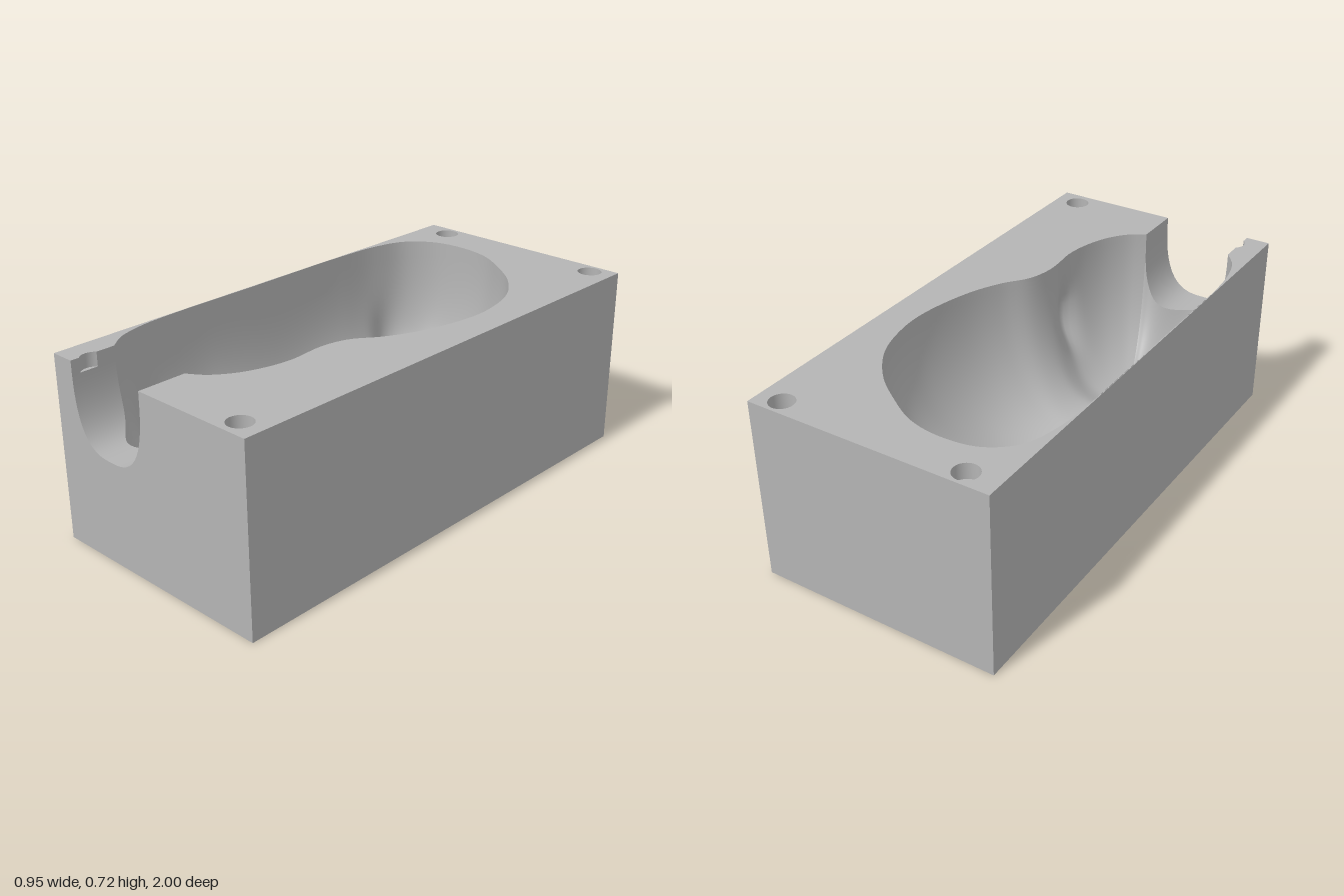
import * as THREE from 'three';

const W = 0.475, TOP = 0.72;
const CH = { x: -0.2, half: 0.18, depth: 0.32, p: 2.8 }; // pouring channel
const PEG = { r: 0.047, depth: 0.06 };

// Smooth interpolation through [position, value] pairs
function interp(table, t) {
  if (t <= table[0][0]) return table[0][1];
  for (let i = 1; i < table.length; i++) {
    const [a, va] = table[i - 1], [b, vb] = table[i];
    if (t <= b) return va + (vb - va) * THREE.MathUtils.smoothstep(t, a, b);
  }
  return table[table.length - 1][1];
}

const channelY = (x) => {
  const u = Math.min(1, Math.abs((x - CH.x) / CH.half));
  return TOP - CH.depth * Math.pow(1 - Math.pow(u, CH.p), 1 / CH.p);
};

// Height of the cavity floor along its length
const floorY = (z) => interp([[-0.62, 0.14], [-0.38, 0.17], [-0.1, 0.13], [0.27, 0.2], [0.42, 0.16], [0.7, 0.17]], z);

// Local hollows pressed into the cavity wall
const dimples = [
  { c: [0.11, 0.49, 0.45], r: [0.07, 0.14, 0.05], push: [0.045, -0.03, 0] },
  { c: [-0.4, 0.33, -0.63], r: [0.06, 0.13, 0.06], push: [-0.03, -0.06, 0] },
  { c: [-0.4, 0.33, 0.65], r: [0.06, 0.13, 0.06], push: [-0.03, -0.06, 0] },
];

// Cavity point below rim point r; a = 0 on the floor spine, PI/2 on the rim
function cavityPoint(r, a) {
  const p = 2.3 + 0.8 * THREE.MathUtils.smoothstep(-r.x, -0.1, 0.4);
  const out = Math.pow(Math.sin(a), 2 / p), down = Math.pow(Math.max(0, Math.cos(a)), 2 / p);
  const sx = -0.13, sz = r.z * 0.6;
  const z = sz + (r.z - sz) * out;
  const v = [sx + (r.x - sx) * out, TOP - (TOP - floorY(z)) * down, z];
  for (const d of dimples) {
    const q = d.c.reduce((s, c, i) => s + ((v[i] - c) / d.r[i]) ** 2, 0);
    const w = Math.exp(-q) * Math.min(1, down * 3);
    d.push.forEach((m, i) => { v[i] += m * w; });
  }
  return new THREE.Vector3(Math.max(v[0], -0.472), v[1], v[2]);
}

// Surface through rows of points
function gridSurface(rows, closed = false, skip = () => false) {
  const n = rows[0].length, pos = [], idx = [];
  rows.forEach((row) => row.forEach((v) => pos.push(v.x, v.y, v.z)));
  for (let i = 0; i < rows.length - (closed ? 0 : 1); i++) {
    const k = (i + 1) % rows.length;
    for (let j = 0; j < n - 1; j++) {
      if (skip(i, j)) continue;
      const a = i * n + j, b = k * n + j;
      idx.push(a, a + 1, b, b, a + 1, b + 1);
    }
  }
  const g = new THREE.BufferGeometry();
  g.setAttribute('position', new THREE.Float32BufferAttribute(pos, 3));
  g.setIndex(idx);
  g.computeVertexNormals();
  return g;
}

// Horizontal plate facing up, from [x, z] points and round holes
function flatPlate(points, y, holes = []) {
  const s = new THREE.Shape(points.map(([x, z]) => new THREE.Vector2(x, -z)));
  holes.forEach(([x, z]) => s.holes.push(new THREE.Path().absarc(x, -z, PEG.r, 0, Math.PI * 2, true)));
  return new THREE.ShapeGeometry(s, 16).rotateX(-Math.PI / 2).translate(0, y, 0);
}

export function createModel() {
  const group = new THREE.Group();
  const grey = new THREE.MeshStandardMaterial({ color: 0xb4b4b4, side: THREE.DoubleSide });
  grey.name = 'mould grey';
  const add = (name, geometry) => {
    const m = new THREE.Mesh(geometry, grey);
    m.name = name;
    group.add(m);
    return m;
  };

  // Cavity rim on the top face, from the channel's right side round to its left
  const rimCurve = new THREE.CatmullRomCurve3([
    [-0.38, 0.82], [-0.43, 0.75], [-0.46, 0.64], [-0.471, 0.5], [-0.471, 0.1], [-0.471, -0.4],
    [-0.455, -0.6], [-0.41, -0.73], [-0.31, -0.81], [-0.17, -0.83], [-0.04, -0.805], [0.08, -0.735],
    [0.2, -0.64], [0.3, -0.5], [0.345, -0.33], [0.345, -0.2], [0.3, 0], [0.24, 0.13], [0.17, 0.23],
    [0.145, 0.33], [0.148, 0.42], [0.153, 0.48], [0.14, 0.58], [0.1, 0.69], [0.04, 0.77], [-0.02, 0.81],
  ].map(([x, z]) => new THREE.Vector3(x, TOP, z)));
  const rim = rimCurve.getSpacedPoints(170);

  // Front end of the cavity, later trimmed where it meets the channel
  const front = [], F = 48;
  for (let i = 1; i < F; i++) {
    const x = CH.x + CH.half * Math.cos((i / F) * Math.PI);
    front.push(new THREE.Vector3(x, TOP, interp([[-0.38, 0.82], [-0.27, 0.905], [-0.05, 0.815], [-0.02, 0.81]], x)));
  }

  // Cavity
  const STEPS = 44;
  const column = (r, end) => Array.from({ length: STEPS + 1 }, (_, j) => cavityPoint(r, (end * j) / STEPS));
  const trimmed = (r) => {
    let lo = 0, hi = Math.PI / 2;
    for (let i = 0; i < 30; i++) {
      const mid = (lo + hi) / 2, v = cavityPoint(r, mid);
      if (v.y > channelY(v.x)) hi = mid; else lo = mid;
    }
    return lo;
  };
  const frontColumns = front.map((r) => column(r, trimmed(r)));
  add('cavity', gridSurface([...rim.map((r) => column(r, Math.PI / 2)), ...frontColumns], true));

  // Channel running from the cavity to the front, with a gap for the cut peg hole
  const cut = { x: -0.35, z: 0.93 };
  const edgeX = CH.x - CH.half;
  const half = Math.sqrt(PEG.r ** 2 - (cut.x - edgeX) ** 2);
  const ends = [rim[rim.length - 1], ...frontColumns.map((c) => c[STEPS]), rim[0]];
  const rows = ends.map((e) => [e.z, cut.z - half, cut.z + half, 1].map((z) => new THREE.Vector3(e.x, e.y, z)));
  add('channel', gridSurface(rows, false, (i, j) => i === ends.length - 2 && j === 1));

  // Peg hole cut open by the channel
  const notchY = ends[ends.length - 2].y;
  const a0 = Math.acos((edgeX - cut.x) / PEG.r);
  const arc = Array.from({ length: 9 }, (_, i) => {
    const a = a0 + (2 * (Math.PI - a0) * i) / 8;
    return [cut.x + PEG.r * Math.cos(a), cut.z + PEG.r * Math.sin(a)];
  });
  add('cutPegHoleWall', gridSurface(arc.map(([x, z]) => [new THREE.Vector3(x, TOP, z), new THREE.Vector3(x, notchY, z)])));
  add('cutPegHoleFloor', flatPlate(arc, notchY));

  // Whole peg holes
  const pegs = [[-0.35, -0.94], [0.38, -0.94], [0.38, 0.93]];
  pegs.forEach(([x, z]) => {
    add('pegHoleWall', new THREE.CylinderGeometry(PEG.r, PEG.r, PEG.depth, 32, 1, true)).position.set(x, TOP - PEG.depth / 2, z);
    add('pegHoleFloor', new THREE.CircleGeometry(PEG.r, 32).rotateX(-Math.PI / 2)).position.set(x, TOP - PEG.depth, z);
  });

  // Top face around the openings
  const outline = [[edgeX, 1], ...arc, ...rim.map((v) => [v.x, v.z]),
    [CH.x + CH.half, 1], [W, 1], [W, -1], [-W, -1], [-W, 1]];
  add('topFace', flatPlate(outline, TOP, pegs));

  // Front face with the channel mouth
  const mouth = ends.map((e) => new THREE.Vector2(e.x, e.y));
  const face = new THREE.Shape([new THREE.Vector2(-W, 0), new THREE.Vector2(W, 0), new THREE.Vector2(W, TOP),
    ...mouth, new THREE.Vector2(-W, TOP)]);
  add('frontFace', new THREE.ShapeGeometry(face)).position.z = 1;

  // Plain outer faces
  add('backFace', new THREE.PlaneGeometry(2 * W, TOP).rotateY(Math.PI)).position.set(0, TOP / 2, -1);
  add('bottomFace', new THREE.PlaneGeometry(2 * W, 2).rotateX(Math.PI / 2));
  for (const s of [-1, 1]) {
    add(s > 0 ? 'leftFace' : 'rightFace', new THREE.PlaneGeometry(2, TOP).rotateY((s * Math.PI) / 2)).position.set(s * W, TOP / 2, 0);
  }
  return group;
}
